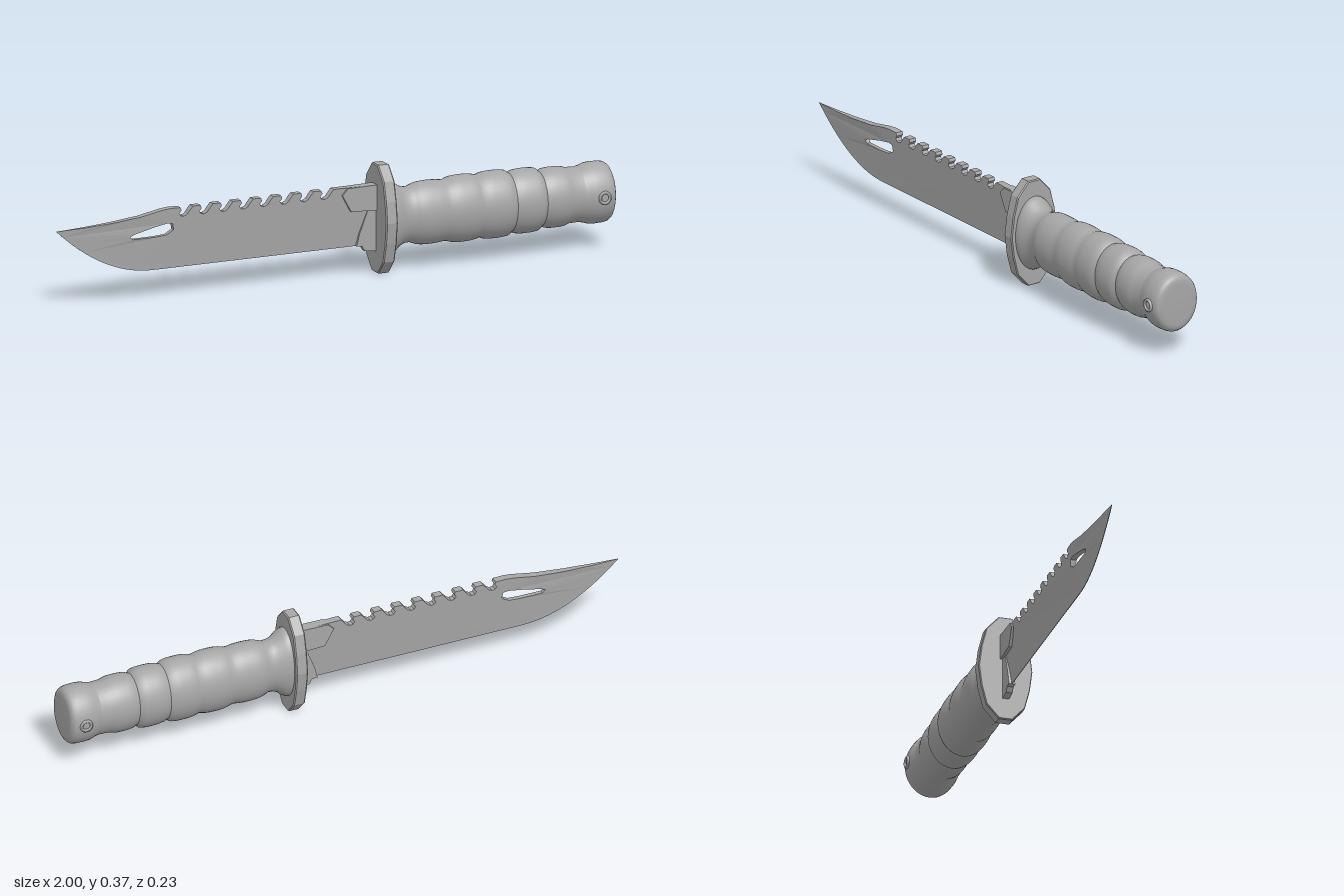
import * as THREE from 'three';
import { mergeVertices, toCreasedNormals } from 'three/addons/utils/BufferGeometryUtils.js';

const AXIS_Y = 0.187;
const clamp = THREE.MathUtils.clamp;

// Height of the cutting edge along the blade: straight, then sweeping up to the tip
const edgeY = (x) => 0.1 + 0.168 * clamp((-0.65 - x) / 0.35, 0, 1) ** 2;

const toShape = (pts) => new THREE.Shape(pts.map(([x, y]) => new THREE.Vector2(x, y)));

// Plate of the given thickness, centred on z = 0
function plate(shape, depth) {
  return new THREE.ExtrudeGeometry(shape, { depth, bevelEnabled: false }).translate(0, 0, -depth / 2);
}

function bladeGeometry() {
  const pts = [[0.17, 0.1]];
  // Cutting edge up to the tip
  for (let i = 0; i <= 14; i++) {
    const x = -0.65 - 0.35 * (i / 14);
    pts.push([x, edgeY(x)]);
  }
  // Clipped spine
  pts.push([-0.9, 0.271], [-0.8, 0.277], [-0.7, 0.287], [-0.62, 0.302], [-0.59, 0.305]);
  // Hooked saw teeth
  for (let i = 0; i < 8; i++) {
    const x = -0.555 + i * 0.073;
    pts.push([x, 0.304], [x + 0.004, 0.294], [x - 0.004, 0.284], [x + 0.002, 0.275],
      [x + 0.013, 0.273], [x + 0.025, 0.279], [x + 0.035, 0.292], [x + 0.045, 0.304]);
  }
  pts.push([0.17, 0.302]);
  const shape = toShape(pts);
  // Slot near the tip
  const slot = [[-0.735, 0.222], [-0.72, 0.229], [-0.65, 0.246], [-0.6, 0.255], [-0.582, 0.252],
    [-0.578, 0.23], [-0.605, 0.215], [-0.65, 0.212], [-0.725, 0.212]];
  shape.holes.push(new THREE.Path(slot.map(([x, y]) => new THREE.Vector2(x, y))));
  // Wedge section: thick at the spine, thin at the edge
  const geo = plate(shape, 2);
  const p = geo.attributes.position;
  for (let i = 0; i < p.count; i++) {
    const t = 0.001 + 0.012 * clamp((p.getY(i) - edgeY(p.getX(i))) / 0.2, 0, 1);
    p.setZ(i, Math.sign(p.getZ(i)) * t);
  }
  geo.computeVertexNormals();
  return geo;
}

function guardGeometry() {
  const quarter = [[0.09, 0], [0.081, 0.07], [0.064, 0.135], [0.022, 0.181]];
  const mirrored = quarter.slice().reverse().map(([a, b]) => [-a, b]);
  const upper = [...quarter, ...mirrored];
  const lower = upper.slice(1, -1).reverse().map(([a, b]) => [a, -b]).reverse().map(([a, b]) => [-a, b]);
  const geo = new THREE.ExtrudeGeometry(toShape([...upper, ...lower]), {
    depth: 0.034, bevelThickness: 0.004, bevelSize: 0.003, bevelSegments: 1,
  });
  return geo.rotateY(Math.PI / 2).translate(0.159, AXIS_Y, 0);
}

// Turned body along x whose oval section changes along its length
function ovalLathe(profile) {
  let geo = new THREE.LatheGeometry(profile.map(([x, r]) => new THREE.Vector2(r, x)), 40);
  geo.rotateZ(-Math.PI / 2);
  const p = geo.attributes.position;
  for (let i = 0; i < p.count; i++) {
    const x = p.getX(i);
    const ratio = x < 0.35 ? 0.6 + 0.15 * clamp((x - 0.2) / 0.1, 0, 1) : 0.75 + 0.1 * clamp((x - 0.5) / 0.45, 0, 1);
    p.setZ(i, p.getZ(i) * ratio);
  }
  geo.deleteAttribute('uv');
  geo.deleteAttribute('normal');
  geo = mergeVertices(geo, 1e-5);
  return toCreasedNormals(geo, 0.7).translate(0, AXIS_Y, 0);
}

function gripProfile() {
  const pts = [[0.19, 0], [0.19, 0.128], [0.205, 0.127], [0.218, 0.12], [0.235, 0.104], [0.255, 0.095], [0.275, 0.094]];
  // Swelling rings divided by shallow grooves: start, end, peak radius
  const rings = [[0.285, 0.41, 0.107], [0.41, 0.525, 0.113], [0.525, 0.64, 0.114], [0.64, 0.75, 0.109], [0.75, 0.85, 0.102]];
  for (const [a, b, r] of rings) {
    for (let i = 0; i < 8; i++) {
      const t = i / 8;
      pts.push([a + (b - a) * t, r - 0.009 * Math.abs(2 * t - 1) ** 3]);
    }
  }
  pts.push([0.85, 0.094], [0.88, 0.093], [0.915, 0.092], [0.915, 0]);
  return pts;
}

export function createModel() {
  const steel = new THREE.MeshStandardMaterial({ color: 0xa6a6a6 });
  steel.name = 'grey';
  const model = new THREE.Group();
  model.name = 'knife';
  const add = (name, geo) => {
    const mesh = new THREE.Mesh(geo, steel);
    mesh.name = name;
    model.add(mesh);
    return mesh;
  };

  add('blade', bladeGeometry());
  // Thick shoulder plates where the blade meets the guard
  add('upperShoulder', plate(toShape([[0.17, 0.217], [0.17, 0.304], [0.05, 0.302], [0.03, 0.28], [0.062, 0.222]]), 0.038));
  add('lowerShoulder', plate(toShape([[0.17, 0.075], [0.17, 0.225], [0.125, 0.218], [0.095, 0.14], [0.085, 0.1], [0.105, 0.098], [0.115, 0.081]]), 0.022));
  add('guard', guardGeometry());
  add('grip', ovalLathe(gripProfile()));
  add('pommel', ovalLathe([[0.885, 0], [0.885, 0.092], [0.905, 0.097], [0.92, 0.102], [0.94, 0.104],
    [0.97, 0.103], [0.984, 0.1], [0.992, 0.094], [0.997, 0.084], [0.998, 0.07], [0.998, 0]]));

  // Lanyard eyelets on both sides of the pommel
  const ring = [[0.011, 0], [0.013, 0.015], [0.017, 0.019], [0.022, 0.016], [0.025, 0]];
  for (const side of [1, -1]) {
    const geo = new THREE.LatheGeometry(ring.map(([r, h]) => new THREE.Vector2(r, h)).reverse(), 20);
    geo.rotateX(side * Math.PI / 2).translate(0.95, AXIS_Y, side * 0.075);
    add('eyelet', geo).material = steel;
  }
  steel.side = THREE.DoubleSide;

  // The whole knife lies at a slight angle
  model.rotation.y = 0.055;
  model.position.z = 0.027;
  const root = new THREE.Group();
  root.add(model);
  return root;
}
